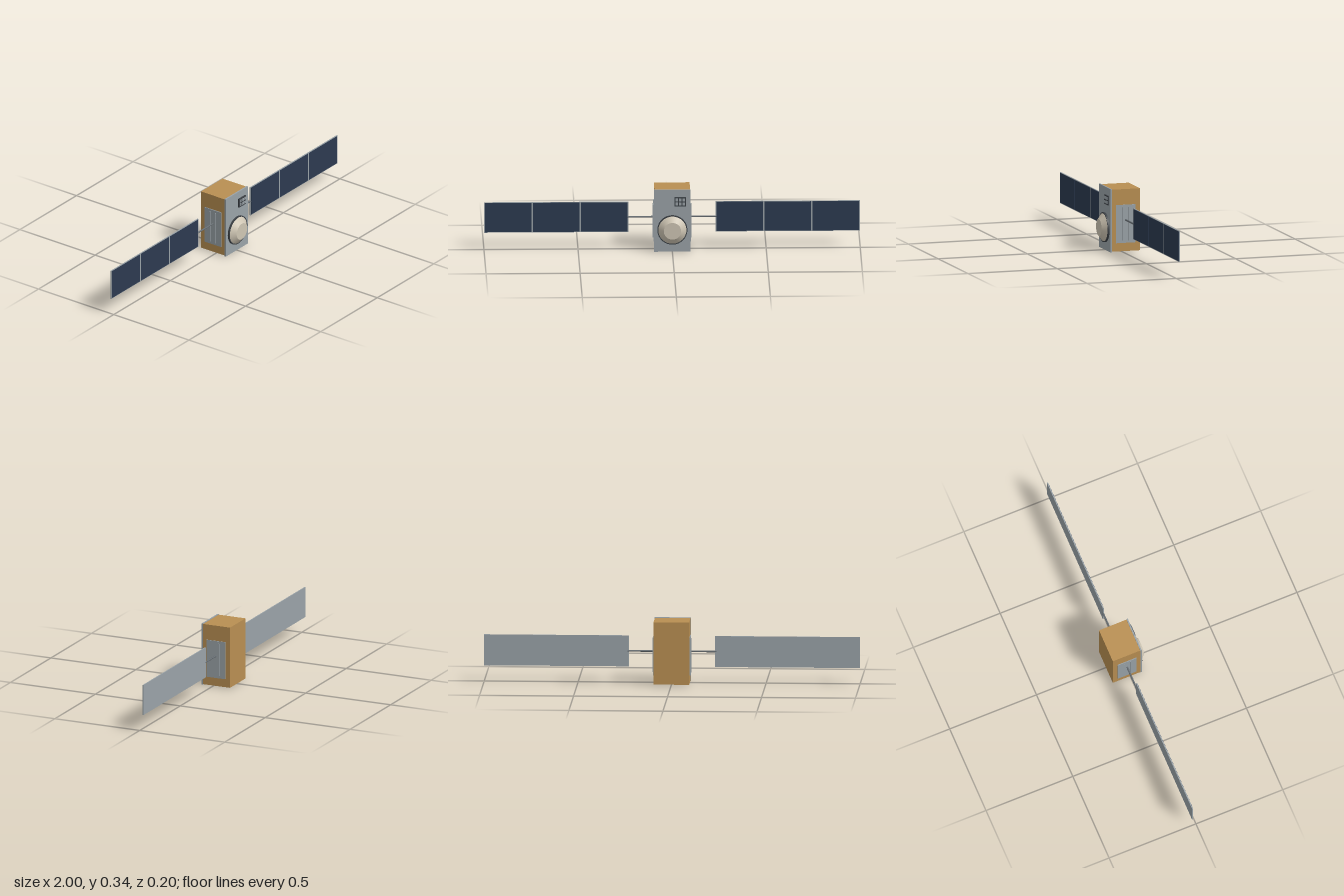
import * as THREE from 'three';

const mat = (name, color) => {
  const m = new THREE.MeshStandardMaterial({ color });
  m.name = name;
  return m;
};

export function createModel() {
  const gold = mat('gold foil', 0xb98f52);
  const grey = mat('panel grey', 0x9aa3a8);
  const navy = mat('solar navy', 0x2c3a50);
  const dark = mat('dark grey', 0x3c4146);
  const steel = mat('boom steel', 0x666d72);
  const cream = mat('dish cream', 0xcfc6b4);

  const model = new THREE.Group();
  model.name = 'satellite';

  const add = (parent, name, geometry, material, x, y, z) => {
    const mesh = new THREE.Mesh(geometry, material);
    mesh.name = name;
    mesh.position.set(x, y, z);
    parent.add(mesh);
    return mesh;
  };
  const box = (parent, name, material, w, h, d, x, y, z) =>
    add(parent, name, new THREE.BoxGeometry(w, h, d), material, x, y, z);

  // Body and front deck
  box(model, 'body', gold, 0.19, 0.334, 0.159, 0, 0.17, -0.0205);
  box(model, 'frontDeck', grey, 0.194, 0.34, 0.008, 0, 0.17, 0.062);

  // Dish: dark rim, then a truncated cone with a flat face
  const dish = new THREE.Group();
  dish.name = 'dish';
  dish.position.set(0, 0.121, 0.066);
  dish.rotation.x = Math.PI / 2;
  model.add(dish);
  add(dish, 'dishRim', new THREE.CylinderGeometry(0.08, 0.08, 0.01, 32), dark, 0, 0.005, 0);
  add(dish, 'dishCone', new THREE.CylinderGeometry(0.046, 0.076, 0.025, 32), cream, 0, 0.0215, 0);

  // Sensor block with a grid of small cells
  const sensor = new THREE.Group();
  sensor.name = 'sensor';
  sensor.position.set(0.042, 0.275, 0.066);
  model.add(sensor);
  box(sensor, 'sensorBase', dark, 0.062, 0.05, 0.008, 0, 0, 0.004);
  for (let i = -1; i <= 1; i++) {
    for (const j of [-1, 1]) {
      box(sensor, 'sensorCell', grey, 0.013, 0.015, 0.002, i * 0.018, j * 0.011, 0.009);
    }
  }

  // Radiators, booms and solar wings, mirrored
  for (const s of [-1, 1]) {
    const side = new THREE.Group();
    side.name = s > 0 ? 'leftWing' : 'rightWing';
    model.add(side);

    box(side, 'radiator', grey, 0.004, 0.205, 0.109, s * 0.097, 0.1505, -0.0185);
    for (const k of [-1, 1]) {
      box(side, 'radiatorFin', grey, 0.005, 0.18, 0.004, s * 0.101, 0.1505, -0.0185 + k * 0.018);
    }

    const boom = add(side, 'boom', new THREE.CylinderGeometry(0.0045, 0.0045, 0.145, 12),
      steel, s * 0.165, 0.171, -0.019);
    boom.rotation.z = Math.PI / 2;

    box(side, 'wingPanel', grey, 0.77, 0.166, 0.006, s * 0.615, 0.171, -0.019);
    for (let i = -1; i <= 1; i++) {
      box(side, 'solarCell', navy, 0.247, 0.16, 0.001, s * 0.615 + i * 0.2555, 0.171, -0.0156);
    }
  }
  return model;
}
